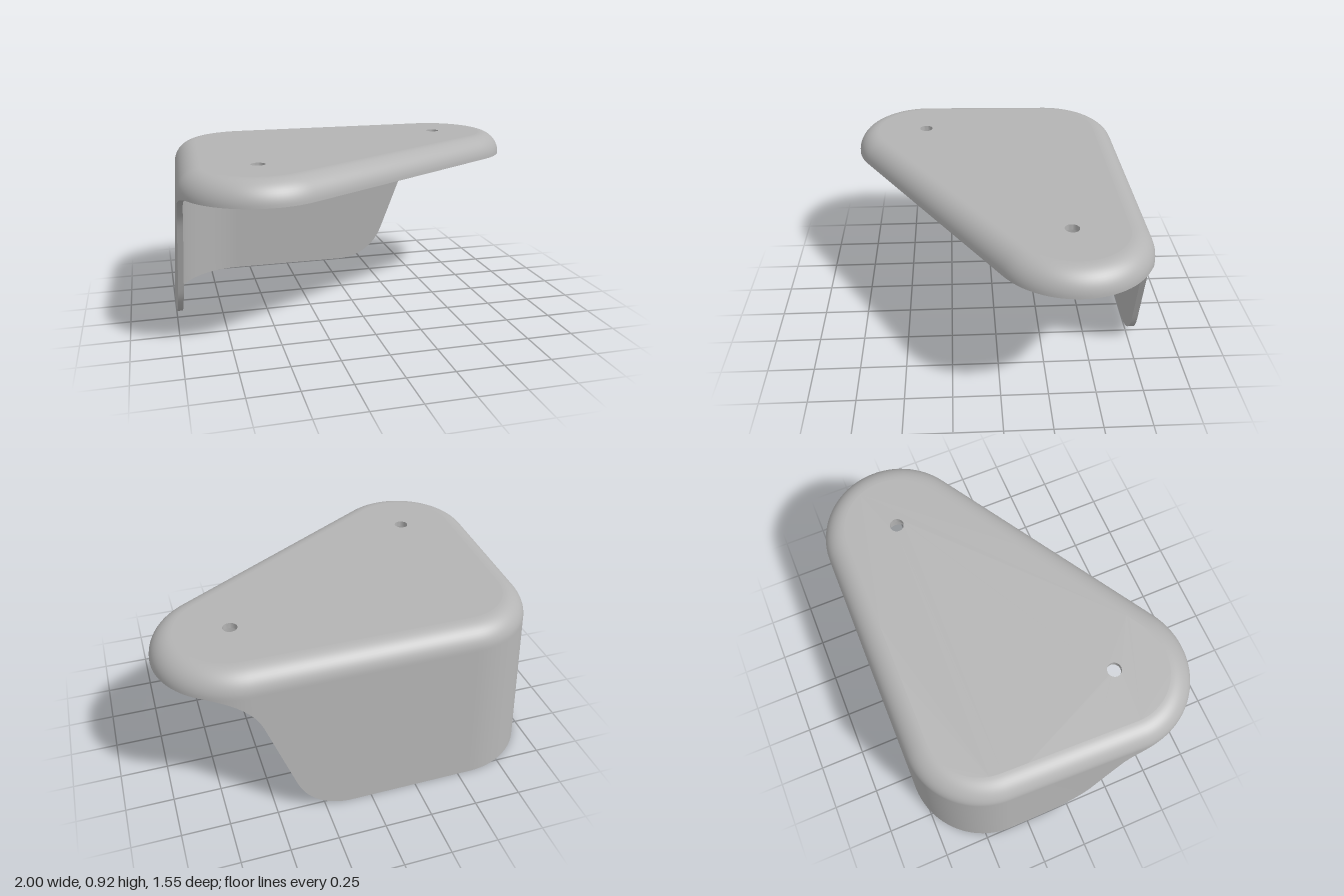
import * as THREE from 'three';
import { toCreasedNormals } from 'three/addons/utils/BufferGeometryUtils.js';

const RIM = 0.8, TOP = 0.92, WALL = 0.03, ROUND = 0.12, HOLE = 0.037;
const ARC = 32, EDGE = 64;

// Corner circles [x, z, radius]: right, front, back-left
const topCorners = [[0.6, -0.345, 0.4], [-0.575, 0.375, 0.4], [-0.55, -0.34, 0.4]];
const footCorners = [[0.6, -0.345, 0.435], [-0.575, 0.375, 0.425], [-0.57, -0.35, 0.43]];

// Rounded triangle: arcs joined by tangent edges, always the same point count
function outline(corners, inset) {
  const normals = corners.map(([x, z, r], i) => {
    const [x2, z2, r2] = corners[(i + 1) % 3];
    return Math.atan2(z2 - z, x2 - x) - Math.acos((r - r2) / Math.hypot(x2 - x, z2 - z));
  });
  const at = ([x, z, r], a) =>
    new THREE.Vector2(x + (r - inset) * Math.cos(a), z + (r - inset) * Math.sin(a));
  const points = [];
  corners.forEach((corner, i) => {
    const end = normals[i];
    let start = normals[(i + 2) % 3];
    while (start > end) start -= 2 * Math.PI;
    while (end - start > 2 * Math.PI) start += 2 * Math.PI;
    for (let k = 0; k < ARC; k++) points.push(at(corner, start + (end - start) * k / ARC));
    const p = at(corner, end), q = at(corners[(i + 1) % 3], end);
    for (let k = 0; k < EDGE; k++) points.push(p.clone().lerp(q, k / EDGE));
  });
  return points;
}

// Height of the wall's lower edge: a sloped line with a round at each end
function cut(s, foot, top, R) {
  const angle = Math.atan2(RIM, top - foot);
  const t = R * Math.tan(angle / 2), c = t * Math.cos(angle);
  if (s <= foot - t) return 0;
  if (s >= top + t) return RIM;
  if (s < foot + c) return R - Math.sqrt(R * R - (s - foot + t) ** 2);
  if (s > top - c) return RIM - R + Math.sqrt(R * R - (top + t - s) ** 2);
  return RIM * (s - foot) / (top - foot);
}

const lowerEdge = outline(topCorners, 0).map(({ x, y: z }) => {
  if (z < -0.345) return cut(x, 0.323, 0.616, 0.3);
  if (x < -0.55) return cut(z, 0.06, 0.34, 0.31);
  return RIM;
});

// Rows of points: rounded rim, then the drafted wall down to its lower edge
function skinRows(inset, round) {
  const rows = [];
  for (let k = 0; k <= 14; k++) {
    const a = (k / 14) * Math.PI / 2;
    rows.push(outline(topCorners, inset + round * (1 - Math.sin(a)))
      .map(p => [p.x, RIM + round * Math.cos(a), p.y]));
  }
  const top = outline(topCorners, inset), foot = outline(footCorners, inset);
  for (let k = 1; k <= 10; k++) {
    rows.push(top.map((p, i) => {
      const y = RIM + (lowerEdge[i] - RIM) * k / 10;
      const q = p.clone().lerp(foot[i], 1 - y / RIM);
      return [q.x, y, q.y];
    }));
  }
  return rows;
}

// Closed strip surface through the rows
function loft(rows) {
  const n = rows[0].length, index = [];
  for (let r = 0; r < rows.length - 1; r++) {
    for (let i = 0; i < n; i++) {
      const j = (i + 1) % n, a = r * n, b = a + n;
      index.push(a + i, a + j, b + i, a + j, b + j, b + i);
    }
  }
  const g = new THREE.BufferGeometry();
  g.setAttribute('position', new THREE.Float32BufferAttribute(rows.flat(2), 3));
  g.setIndex(index);
  g.computeVertexNormals();
  return g;
}

// Flat triangular panel with the two screw holes, facing up (1) or down (-1)
function panel(y, facing) {
  const flip = p => new THREE.Vector2(p.x, -facing * p.y);
  const shape = new THREE.Shape(outline(topCorners, ROUND).map(flip));
  for (const [x, z] of topCorners.slice(0, 2)) {
    shape.holes.push(new THREE.Path().absarc(x, -facing * z, HOLE, 0, Math.PI * 2, true));
  }
  return new THREE.ShapeGeometry(shape, 16).rotateX(-facing * Math.PI / 2).translate(0, y, 0);
}

export function createModel() {
  const grey = new THREE.MeshStandardMaterial({ color: 0xb4b4b4 });
  grey.name = 'grey plastic';
  const model = new THREE.Group();
  model.name = 'cornerBracket';
  const add = (name, geometry) => {
    const mesh = new THREE.Mesh(geometry, grey);
    mesh.name = name;
    model.add(mesh);
    return mesh;
  };

  // Hollow shell
  const outer = skinRows(0, ROUND);
  const inner = skinRows(WALL, ROUND - WALL);
  add('outerSkin', loft(outer));
  add('innerSkin', loft([...inner].reverse()));
  add('lowerLip', loft([outer.at(-1), inner.at(-1)]));
  add('topPanel', panel(TOP, 1));
  add('ceilingPanel', panel(TOP - WALL, -1));

  // Screw holes with counterbored bosses underneath
  const profile = [[HOLE, TOP], [HOLE, 0.89], [0.07, 0.89], [0.07, 0.797], [0.1, 0.797], [0.1, 0.89]]
    .map(([r, y]) => new THREE.Vector2(r, y));
  topCorners.slice(0, 2).forEach(([x, z], i) => {
    const boss = add(i ? 'frontScrewBoss' : 'sideScrewBoss',
      toCreasedNormals(new THREE.LatheGeometry(profile, 32), 0.6));
    boss.position.set(x, 0, z);
  });
  return model;
}
